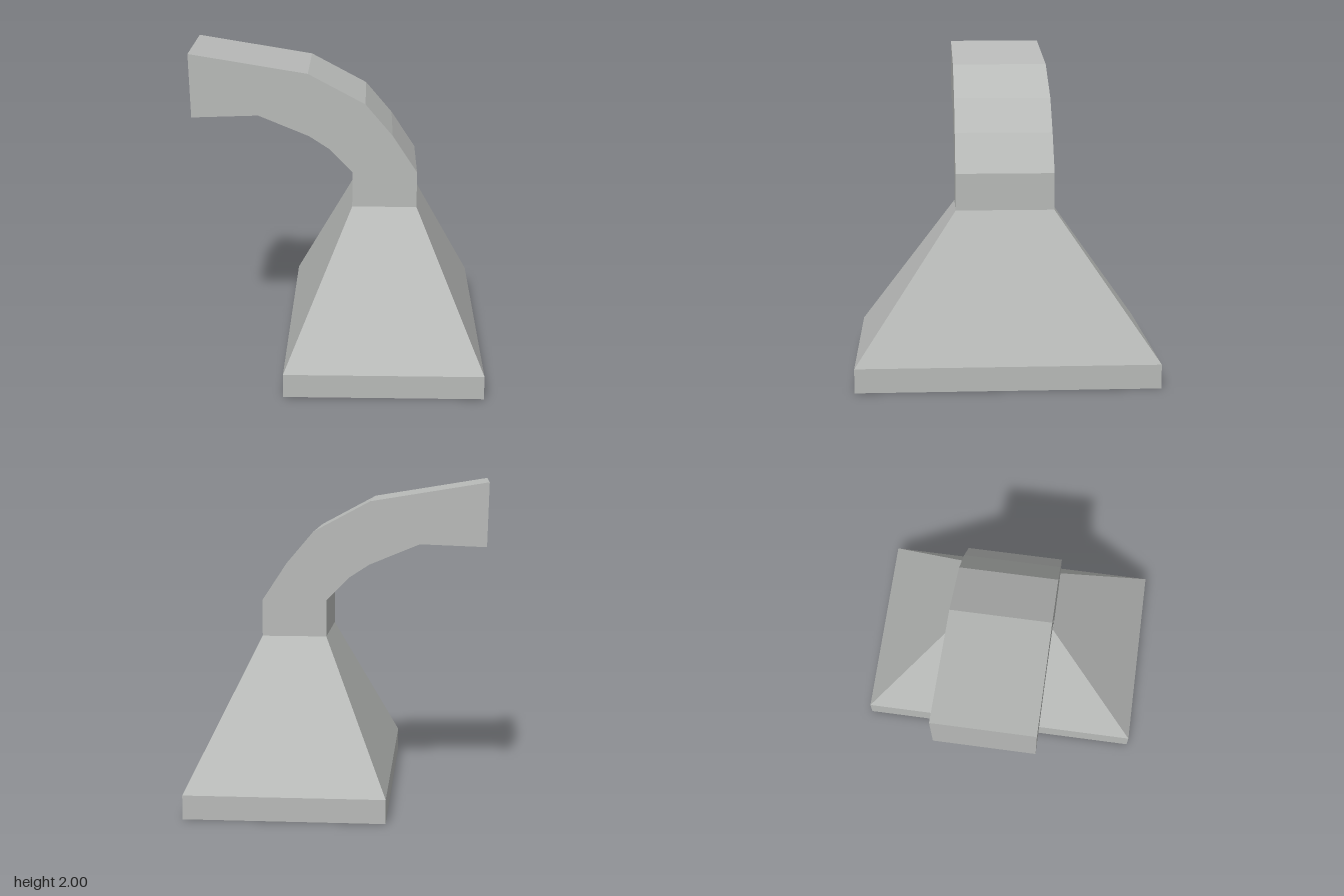
import * as THREE from 'three';

const CENTER_X = 0.2975; // hood axis

// Flat-shaded skin through rectangular rings [halfX, y, halfZ]
function loftRings(rings) {
  const corners = rings.map(([hx, y, hz]) => [
    [CENTER_X + hx, y, hz], [CENTER_X + hx, y, -hz],
    [CENTER_X - hx, y, -hz], [CENTER_X - hx, y, hz],
  ]);
  const pos = [];
  const quad = (a, b, c, d) => pos.push(...a, ...b, ...c, ...a, ...c, ...d);
  for (let i = 0; i < corners.length - 1; i++) {
    const lo = corners[i], hi = corners[i + 1];
    for (let j = 0; j < 4; j++) {
      const k = (j + 1) % 4;
      quad(lo[j], lo[k], hi[k], hi[j]);
    }
  }
  const first = corners[0], last = corners[corners.length - 1];
  quad(first[3], first[2], first[1], first[0]);
  quad(...last);
  const geo = new THREE.BufferGeometry();
  geo.setAttribute('position', new THREE.Float32BufferAttribute(pos, 3));
  geo.computeVertexNormals();
  return geo;
}

export function createModel() {
  const group = new THREE.Group();
  group.name = 'extractorHood';
  const metal = new THREE.MeshStandardMaterial({ color: 0xb8bab8 });
  metal.name = 'grey metal';

  // Hood: hollow inside, bottom rim, upright skirt, sloping sides up to the neck
  const hood = new THREE.Mesh(loftRings([
    [0.15, 0.77, 0.23],
    [0.468, 0, 0.775],
    [0.6125, 0, 0.92],
    [0.6125, 0.148, 0.92],
    [0.2025, 1.027, 0.305],
  ]), metal);
  hood.name = 'hood';
  group.add(hood);

  // Duct: curved side profile extruded across the depth
  const profile = [
    [0.095, 1.027], [0.5, 1.027], [0.5, 1.255], [0.345, 1.49], [0.175, 1.69],
    [-0.18, 1.88], [-0.915, 2], [-0.905, 1.6], [-0.49, 1.615],
    [-0.175, 1.485], [-0.045, 1.4], [0.095, 1.255],
  ].map(([x, y]) => new THREE.Vector2(x, y));
  const ductGeo = new THREE.ExtrudeGeometry(new THREE.Shape(profile), { depth: 0.61, bevelEnabled: false });
  ductGeo.translate(0, 0, -0.305);
  const duct = new THREE.Mesh(ductGeo, metal);
  duct.name = 'duct';
  group.add(duct);

  return group;
}
